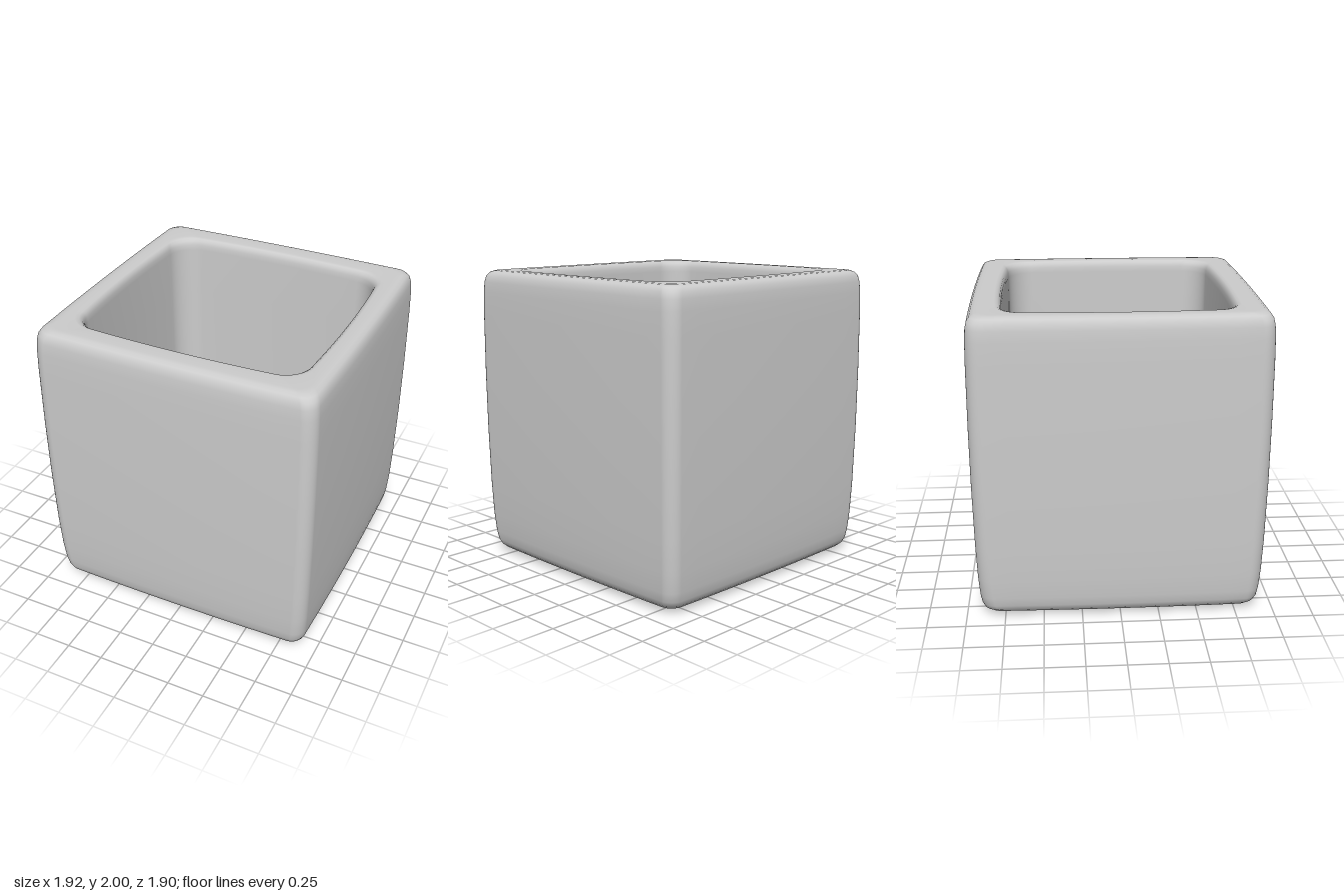
import * as THREE from 'three';

// Horizontal rounded rectangle whose sides bow slightly outwards
function ring(hx, hz, y, radius, bow) {
  const r = Math.min(radius, hx * 0.5, hz * 0.5);
  const signs = [[1, 1], [-1, 1], [-1, -1], [1, -1]];
  const outline = [];
  signs.forEach(([sx, sz], c) => {
    for (let j = 0; j <= 10; j++) {
      const a = (c + j / 10) * Math.PI / 2;
      outline.push([sx * (hx - r) + r * Math.cos(a), sz * (hz - r) + r * Math.sin(a)]);
    }
    // Straight run to the start of the next corner
    const [nx, nz] = signs[(c + 1) % 4];
    const a = (c + 1) * Math.PI / 2;
    const [x0, z0] = outline[outline.length - 1];
    const x1 = nx * (hx - r) + r * Math.cos(a), z1 = nz * (hz - r) + r * Math.sin(a);
    for (let k = 1; k < 12; k++) {
      outline.push([x0 + (x1 - x0) * k / 12, z0 + (z1 - z0) * k / 12]);
    }
  });
  return outline.map(([x, z]) => [
    x * (1 - bow * (z / hz) ** 2), y, z * (1 - bow * (x / hx) ** 2)]);
}

// Smooth skin over a stack of rings
function loft(rings) {
  const n = rings[0].length, index = [];
  for (let i = 0; i < rings.length - 1; i++) {
    for (let j = 0; j < n; j++) {
      const a = i * n + j, b = i * n + (j + 1) % n;
      index.push(a, a + n, b, b, a + n, b + n);
    }
  }
  const geometry = new THREE.BufferGeometry();
  geometry.setAttribute('position', new THREE.Float32BufferAttribute(rings.flat(2), 3));
  geometry.setIndex(index);
  geometry.computeVertexNormals();
  return geometry;
}

export function createModel() {
  const group = new THREE.Group();
  group.name = 'planterBox';
  const grey = new THREE.MeshStandardMaterial({ color: 0xcccccc });
  grey.name = 'lightGrey';

  // Half width and height, from the underside up the outer wall to the rim
  const outer = [
    [0.001, 0], [0.3, 0.002], [0.6, 0.008], [0.8, 0.015], [0.85, 0.02],
    [0.885, 0.032], [0.91, 0.055], [0.925, 0.09], [0.935, 0.15], [0.945, 0.28],
    [0.953, 0.5], [0.96, 0.9], [0.962, 1.3], [0.96, 1.7], [0.957, 1.85],
    [0.952, 1.92], [0.943, 1.96], [0.925, 1.985], [0.9, 1.997], [0.87, 2],
  ];
  // From the rim down the inner wall to the floor
  const inner = [
    [0.825, 2], [0.805, 1.994], [0.79, 1.98], [0.782, 1.955], [0.78, 1.92],
    [0.778, 1.6], [0.776, 1], [0.772, 0.5], [0.765, 0.36], [0.745, 0.28],
    [0.71, 0.225], [0.66, 0.2], [0.58, 0.19], [0.3, 0.185], [0.001, 0.185],
  ];
  const rings = [
    ...outer.map(([h, y]) => ring(h, h * 0.986, y, 0.085, 0.015)),
    ...inner.map(([h, y]) => ring(h, h * 0.943, y, 0.16, 0.04)),
  ];

  const box = new THREE.Mesh(loft(rings), grey);
  box.name = 'hollowBox';
  group.add(box);
  return group;
}
